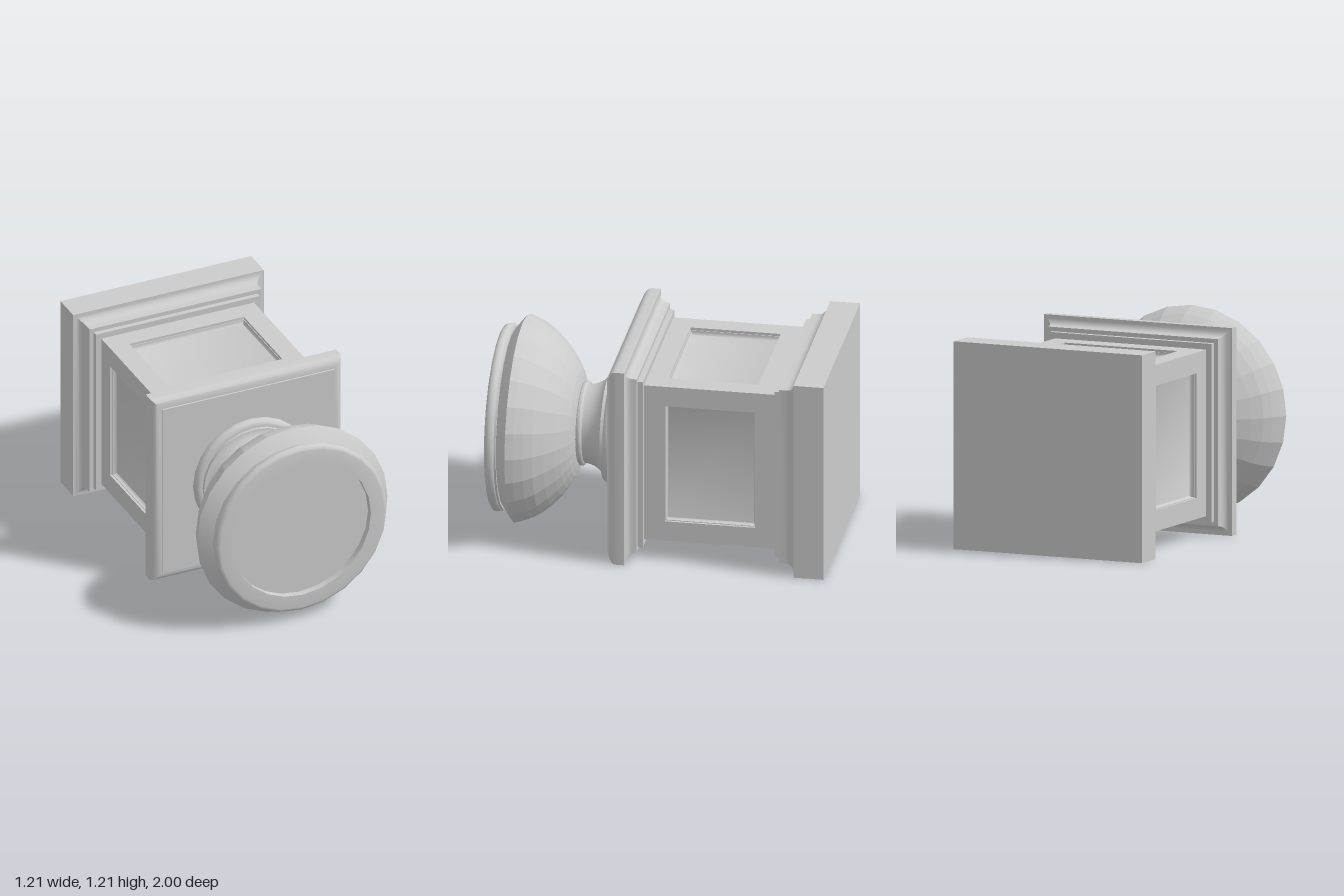
import * as THREE from 'three';
import { toCreasedNormals } from 'three/addons/utils/BufferGeometryUtils.js';

const SIDES = 24;
const HALF = 0.605;
const grey = new THREE.MeshStandardMaterial({ color: 0xcccccc });
const faceted = new THREE.MeshStandardMaterial({ color: 0xcccccc, flatShading: true });

function mesh(name, geometry, material = grey) {
  const m = new THREE.Mesh(geometry, material);
  m.name = name;
  return m;
}

// Quarter-ellipse from a to b; the tangent at a points towards corner c.
function quarter(a, b, c, steps = 5) {
  const pts = [];
  for (let i = 0; i <= steps; i++) {
    const t = (i / steps) * Math.PI / 2, s = 1 - Math.sin(t), k = 1 - Math.cos(t);
    pts.push([0, 1].map(j => c[j] + (a[j] - c[j]) * s + (b[j] - c[j]) * k));
  }
  return pts;
}

// Stack of rectangles [halfWidth, halfDepth, height], closed on top.
function rectLoft(rings, closeBottom = false) {
  const pos = [];
  const ring = ([w, d, y]) => [[w, y, d], [w, y, -d], [-w, y, -d], [-w, y, d]];
  const quad = (a, b, c, d) => pos.push(...a, ...b, ...c, ...a, ...c, ...d);
  for (let i = 0; i < rings.length - 1; i++) {
    const a = ring(rings[i]), b = ring(rings[i + 1]);
    for (let k = 0; k < 4; k++) quad(a[k], a[(k + 1) % 4], b[(k + 1) % 4], b[k]);
  }
  quad(...ring(rings[rings.length - 1]));
  if (closeBottom) quad(...ring(rings[0]).reverse());
  const g = new THREE.BufferGeometry();
  g.setAttribute('position', new THREE.Float32BufferAttribute(pos, 3));
  return toCreasedNormals(g, 0.6);
}

const squareLoft = profile => rectLoft(profile.map(([r, y]) => [r, r, y]), true);

function turned(profile) {
  const g = new THREE.LatheGeometry(profile.map(p => new THREE.Vector2(...p)), SIDES);
  return toCreasedNormals(g, 0.6);
}

export function createModel() {
  const urn = new THREE.Group();
  urn.name = 'urnOnPedestal';

  // Square base with cove and stepped fillets
  urn.add(mesh('pedestalBase', squareLoft([
    [HALF, -1], [HALF, -0.825],
    ...quarter([0.6, -0.825], [0.545, -0.77], [0.545, -0.825]),
    [0.545, -0.73], [0.52, -0.73], [0.52, -0.7], [0.48, -0.7],
  ])));

  // Square cap with stepped fillets, cove and rounded top edge
  urn.add(mesh('pedestalCap', squareLoft([
    [0.48, 0.07], [0.52, 0.07], [0.52, 0.102], [0.545, 0.102], [0.55, 0.13],
    ...quarter([0.55, 0.13], [0.6, 0.165], [0.55, 0.165], 4),
    [HALF, 0.165], [HALF, 0.215],
    ...quarter([HALF, 0.215], [0.55, 0.264], [HALF, 0.264]),
    [0.545, 0.264], [0.545, 0.275],
  ])));

  // Four shaft faces, each with a recessed panel
  const bottom = -0.7, top = 0.07, mid = (bottom + top) / 2, face = 0.485;
  const inset = (dx, y) => [0.363 - dx, 0.263 - dx, y];
  const panel = rectLoft([
    [face, (top - bottom) / 2, 0],
    inset(0, 0), inset(0, -0.015), inset(0.004, -0.015),
    ...quarter([0.004, -0.015], [0.013, -0.04], [0.004, -0.04], 4).map(p => inset(...p)),
  ]);
  panel.rotateX(Math.PI / 2).translate(0, mid, face);
  for (let k = 0; k < 4; k++) {
    const side = mesh('shaftPanel' + (k + 1), panel);
    side.rotation.y = k * Math.PI / 2;
    urn.add(side);
  }

  // Turned foot: torus bead, fillet, waisted stem and collar
  const bead = (r, y, rx, ry, n) => Array.from({ length: n + 1 }, (_, i) => {
    const a = -Math.PI / 2 + (i / n) * Math.PI;
    return [r + rx * Math.cos(a), y + ry * Math.sin(a)];
  });
  urn.add(mesh('foot', turned([
    ...bead(0.335, 0.307, 0.032, 0.033, 8),
    [0.325, 0.34], [0.325, 0.36], [0.312, 0.36],
    ...quarter([0.312, 0.36], [0.23, 0.48], [0.235, 0.375], 6),
    ...bead(0.23, 0.5, 0.018, 0.018, 6),
    [0.225, 0.53],
  ])));

  // Bowl
  const bowlCurve = new THREE.SplineCurve([
    [0.235, 0.515], [0.3, 0.532], [0.36, 0.563], [0.425, 0.608],
    [0.52, 0.7], [0.575, 0.785], [HALF, 0.865],
  ].map(p => new THREE.Vector2(...p)));
  urn.add(mesh('bowl', new THREE.LatheGeometry(bowlCurve.getPoints(10), SIDES), faceted));

  // Shoulder cove, rim and shallow round recess
  urn.add(mesh('rim', turned([
    [HALF, 0.865],
    ...quarter([0.603, 0.867], [0.52, 0.93], [0.545, 0.915]),
    [0.535, 0.93], [0.535, 0.942],
    ...bead(0.52, 0.97, 0.027, 0.03, 8),
    [0.437, 1], [0.437, 0.96], [0, 0.96],
  ])));

  // Lay the urn on its side, mouth to the front
  urn.rotation.x = Math.PI / 2;
  urn.position.y = HALF;
  const model = new THREE.Group();
  model.name = 'pedestalUrn';
  model.add(urn);
  return model;
}
